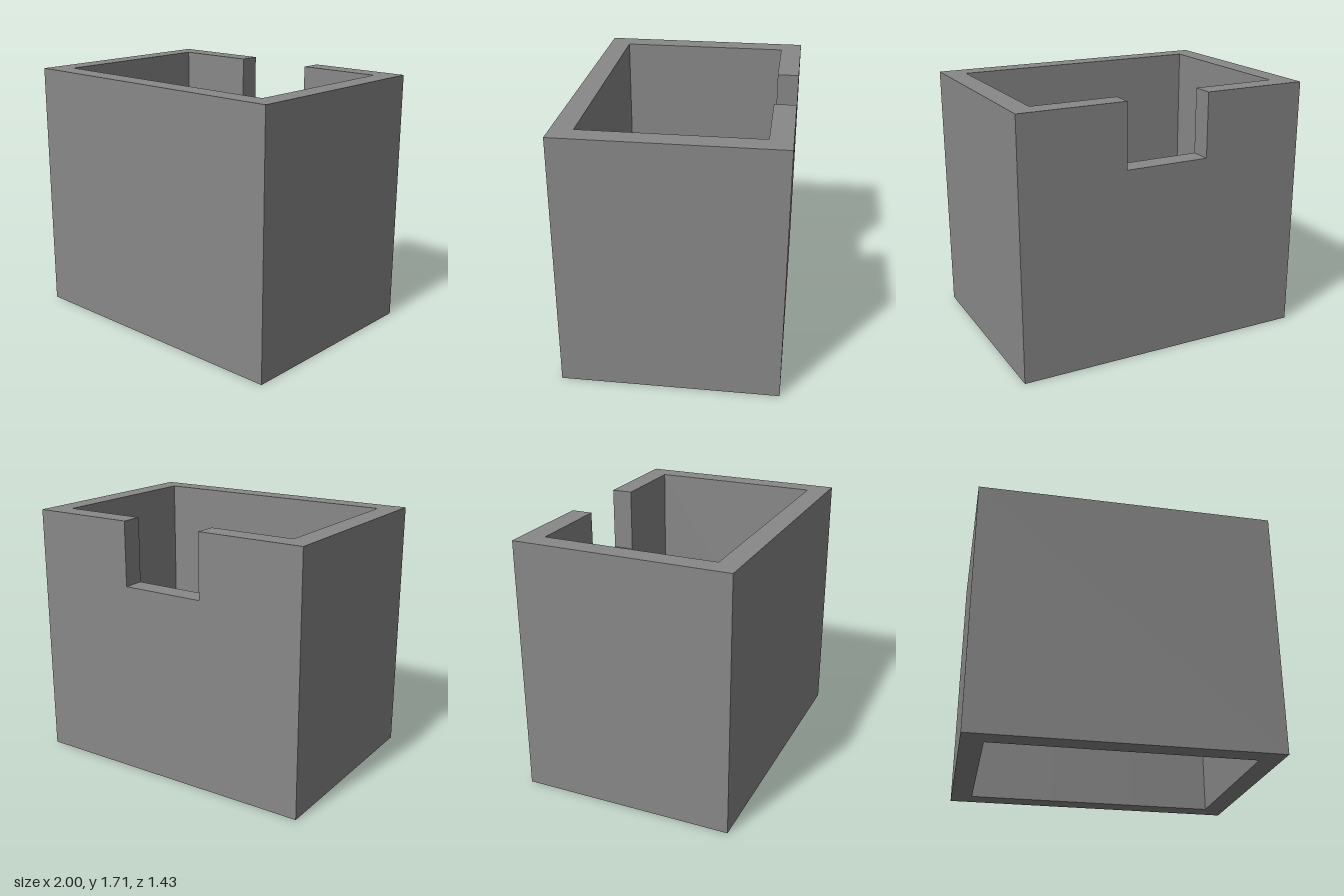
import * as THREE from 'three';

const U = 1 / 7;                       // wall thickness, the module of all sizes
const W = 7 * U, D = 5 * U, H = 12 * U; // half width, half depth, height
const NOTCH = 2 * U;                   // half width of the notch
const SILL = 9 * U;                    // height of the notch floor

export function createModel() {
  const group = new THREE.Group();
  const grey = new THREE.MeshStandardMaterial({ color: 0x888888 });
  grey.name = 'grey';

  // Full-height walls: a rectangular ring in plan, open at the middle of the back
  const right = [[-NOTCH, D], [-W, D], [-W, -D]];
  const inner = [[W - U, -D + U], [W - U, D - U], [NOTCH, D - U]];
  const mirror = (pts) => pts.map(([x, y]) => [-x, y]).reverse();
  const plan = [...right, ...mirror(right), ...mirror(mirror(inner).map(([x, y]) => [-x, y])).map(([x, y]) => [-x, y]), ...mirror(inner)];
  const outline = [
    ...right, ...mirror(right),
    ...[...inner].reverse(), ...mirror(inner).reverse(),
  ];
  const shape = new THREE.Shape(outline.map(([x, y]) => new THREE.Vector2(x, y)));
  const wallGeometry = new THREE.ExtrudeGeometry(shape, { depth: H, bevelEnabled: false });
  wallGeometry.rotateX(-Math.PI / 2);
  const walls = new THREE.Mesh(wallGeometry, grey);
  walls.name = 'walls';
  group.add(walls);

  // Lower back wall that closes the gap up to the notch floor
  const sill = new THREE.Mesh(new THREE.BoxGeometry(2 * NOTCH, SILL, U), grey);
  sill.name = 'notchSill';
  sill.position.set(0, SILL / 2, -D + U / 2);
  group.add(sill);

  return group;
}
